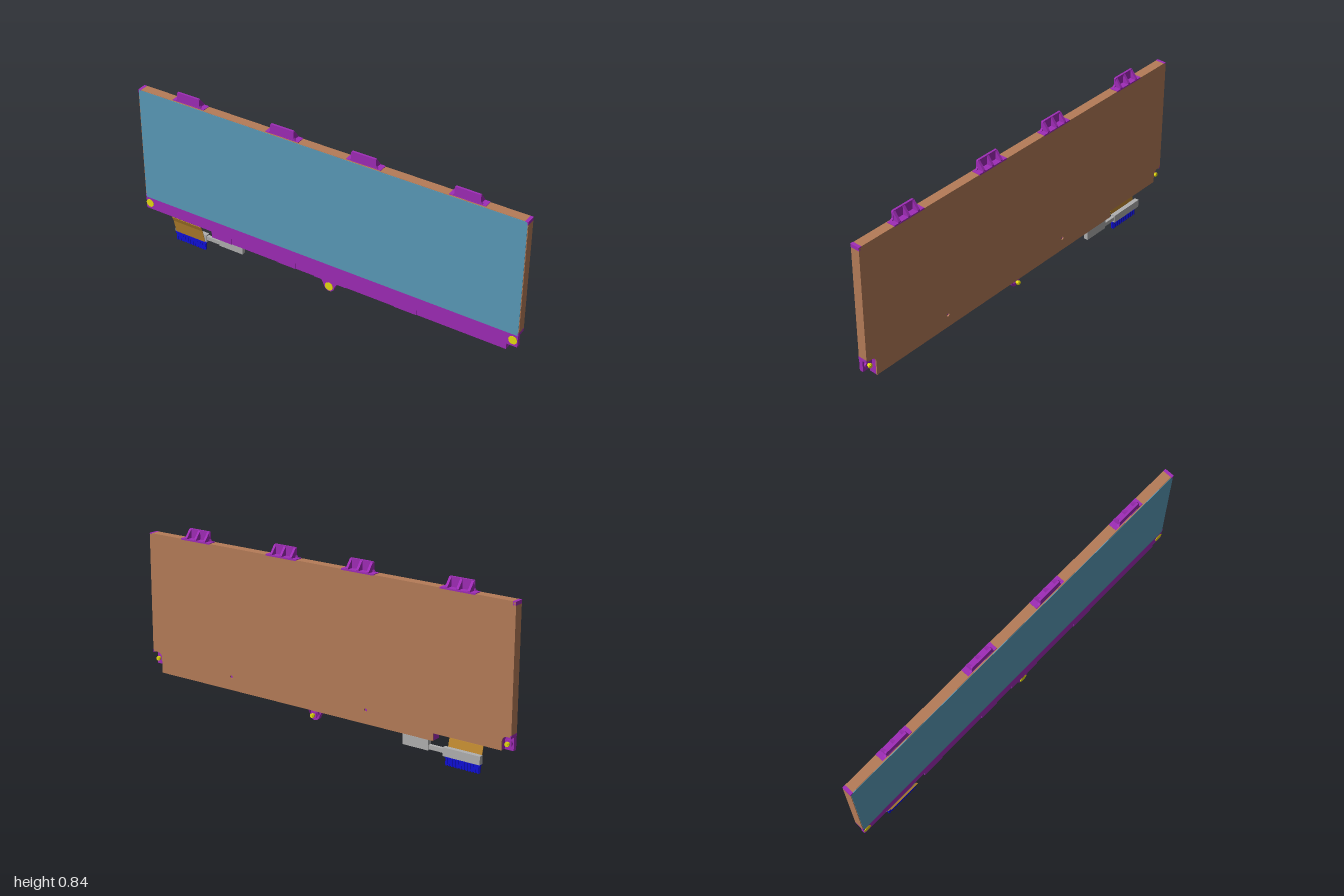
import * as THREE from 'three';

const mat = (name, color) => {
  const m = new THREE.MeshStandardMaterial({ color });
  m.name = name;
  return m;
};

export function createModel() {
  const purple = mat('purple frame', 0x9f2cb7);
  const brown = mat('brown metal', 0xb57c58);
  const teal = mat('screen blue', 0x5a9bba);
  const yellow = mat('yellow screw', 0xe6de10);
  const grey = mat('grey plastic', 0xb0b0b0);
  const gold = mat('gold film', 0xbe8830);
  const blue = mat('connector blue', 0x0f0fd8);

  const model = new THREE.Group();
  model.name = 'displayPanel';
  const add = (name, geo, material) => {
    const m = new THREE.Mesh(geo, material);
    m.name = name;
    model.add(m);
    return m;
  };
  // Box given by its minimum and maximum on each axis
  const box = (name, material, x0, x1, y0, y1, z0, z1) => {
    const g = new THREE.BoxGeometry(x1 - x0, y1 - y0, z1 - z0);
    g.translate((x0 + x1) / 2, (y0 + y1) / 2, (z0 + z1) / 2);
    return add(name, g, material);
  };
  // Outline in x, y extruded from z0 to z1
  const plate = (name, material, shape, z0, z1) => {
    const g = new THREE.ExtrudeGeometry(shape, { depth: z1 - z0, bevelEnabled: false, curveSegments: 8 });
    g.translate(0, 0, z0);
    return add(name, g, material);
  };
  // Outline in z, y extruded from x0 to x1
  const slice = (name, material, points, x0, x1) => {
    const s = new THREE.Shape(points.map(p => new THREE.Vector2(...p)));
    const g = new THREE.ExtrudeGeometry(s, { depth: x1 - x0, bevelEnabled: false });
    g.rotateY(-Math.PI / 2).translate(x1, 0, 0);
    return add(name, g, material);
  };
  const zCylinder = (name, material, r, x, y, z0, z1, sides = 16) => {
    const g = new THREE.CylinderGeometry(r, r, z1 - z0, sides);
    g.rotateX(Math.PI / 2).translate(x, y, (z0 + z1) / 2);
    return add(name, g, material);
  };

  // Rear outline: stepped lower edge and rounded notches around the corner screws
  const rearOutline = (edge) => {
    const s = new THREE.Shape();
    s.moveTo(-edge, 0.788);
    s.lineTo(-edge, 0.205);
    s.lineTo(-0.975, 0.205);
    s.quadraticCurveTo(-0.955, 0.2, -0.955, 0.175);
    s.lineTo(-0.955, 0.14);
    s.lineTo(-0.615, 0.14);
    s.lineTo(-0.615, 0.105);
    s.lineTo(0.945, 0.105);
    s.lineTo(0.945, 0.175);
    s.quadraticCurveTo(0.945, 0.205, 0.975, 0.205);
    s.lineTo(edge, 0.205);
    s.lineTo(edge, 0.788);
    return s;
  };
  plate('rearFrame', purple, rearOutline(0.994), -0.022, 0);

  // Back sheet with two small holes
  const sheet = rearOutline(0.998);
  for (const [x, y] of [[0.51, 0.17], [-0.26, 0.17]]) {
    const hole = new THREE.Path();
    hole.absarc(x, y, 0.008, 0, Math.PI * 2, true);
    sheet.holes.push(hole);
  }
  plate('backSheet', brown, sheet, -0.028, -0.022);

  // Front half of the frame, with ears that carry the screws
  box('frontFrame', purple, -0.994, 0.994, 0.2, 0.788, 0, 0.014);
  box('frontBar', purple, -0.998, 0.998, 0.138, 0.2, 0, 0.02);
  box('screen', teal, -0.997, 0.997, 0.2, 0.79, 0.014, 0.02);

  // Lower lip in sections of slightly different depth
  const lip = [-0.615, -0.5, -0.24, -0.14, -0.04, 0.13, 0.385, 0.5, 0.945];
  for (let i = 0; i < lip.length - 1; i++) {
    box('lowerLip', purple, lip[i], lip[i + 1], 0.105, 0.138, 0, i % 2 ? 0.017 : 0.02);
  }

  // Side and top sheets, with frame corners showing at the ends
  for (const s of [-1, 1]) {
    const [a, b] = s < 0 ? [-1, -0.994] : [0.994, 1];
    box('sideSheet', brown, a, b, 0.215, 0.775, -0.028, 0.018);
    box('upperCorner', purple, s < 0 ? -1 : 0.985, s < 0 ? -0.985 : 1, 0.775, 0.792, -0.028, 0.02);
    box('lowerCorner', purple, a, b, 0.2, 0.215, -0.028, 0.02);
  }
  box('topSheet', brown, -0.985, 0.985, 0.786, 0.792, -0.028, 0.018);

  // Top tabs: front wall with three sloping ribs on a flat foot
  for (const x of [-0.72, -0.21, 0.21, 0.715]) {
    box('tabFoot', purple, x - 0.087, x + 0.087, 0.788, 0.795, -0.0285, 0.013);
    const wall = new THREE.Shape();
    wall.moveTo(x - 0.072, 0.793);
    wall.lineTo(x + 0.072, 0.793);
    wall.lineTo(x + 0.062, 0.805);
    wall.lineTo(x + 0.062, 0.836);
    wall.lineTo(x + 0.058, 0.84);
    wall.lineTo(x - 0.058, 0.84);
    wall.lineTo(x - 0.062, 0.836);
    wall.lineTo(x - 0.062, 0.805);
    plate('tabWall', purple, wall, 0.002, 0.012);
    for (const dx of [-0.055, 0, 0.055]) {
      slice('tabRib', purple, [[-0.028, 0.793], [0.003, 0.793], [0.003, 0.838], [-0.028, 0.8]],
        x + dx - 0.006, x + dx + 0.006);
    }
  }

  // Lug below the lower lip
  const lug = new THREE.Shape();
  lug.moveTo(-0.005, 0.107);
  lug.lineTo(0.012, 0.075);
  lug.absarc(0.04, 0.077, 0.027, Math.PI, Math.PI * 2, false);
  lug.lineTo(0.085, 0.107);
  plate('lug', purple, lug, -0.002, 0.016);
  slice('lugBrace', purple, [[-0.018, 0.107], [-0.001, 0.075], [-0.001, 0.107]], 0.012, 0.018);
  slice('lugBrace', purple, [[-0.018, 0.107], [-0.001, 0.075], [-0.001, 0.107]], 0.062, 0.068);

  // Screws: broad head in front, threaded shaft behind
  for (const [x, y, front] of [[-0.977, 0.17, 0.022], [0.975, 0.17, 0.022], [0.04, 0.077, 0.019]]) {
    zCylinder('screwHead', yellow, 0.021, x, y, front - 0.005, front);
    zCylinder('screwShaft', yellow, 0.008, x, y, -0.028, front - 0.004);
    zCylinder('screwCollar', yellow, 0.011, x, y, -0.025, -0.018);
    zCylinder('screwBoss', purple, 0.016, x, y, -0.01, 0.002);
  }

  // Gold film folding down from the front bar to the connector
  slice('goldFilm', gold, [[0.03, 0.146], [0.018, 0.118], [0.001, 0.045], [0.003, 0.043],
    [0.02, 0.117], [0.032, 0.145]], -0.84, -0.67);

  // Connector housing, plug and cable
  box('connectorHousing', grey, -0.848, -0.662, 0.045, 0.085, -0.021, 0.001);
  box('cable', grey, -0.67, -0.585, 0.058, 0.078, -0.018, -0.002);
  box('cablePlug', grey, -0.588, -0.455, 0.053, 0.102, -0.022, -0.001);
  box('connectorPlug', blue, -0.84, -0.667, 0.002, 0.047, -0.006, 0.003);
  for (let i = 0; i < 12; i++) {
    const x = -0.837 + i * 0.0145;
    box('connectorRib', blue, x, x + 0.008, 0, 0.038, -0.009, 0.005);
  }
  box('connectorRim', blue, -0.843, -0.664, 0.036, 0.046, -0.009, 0.005);
  return model;
}
